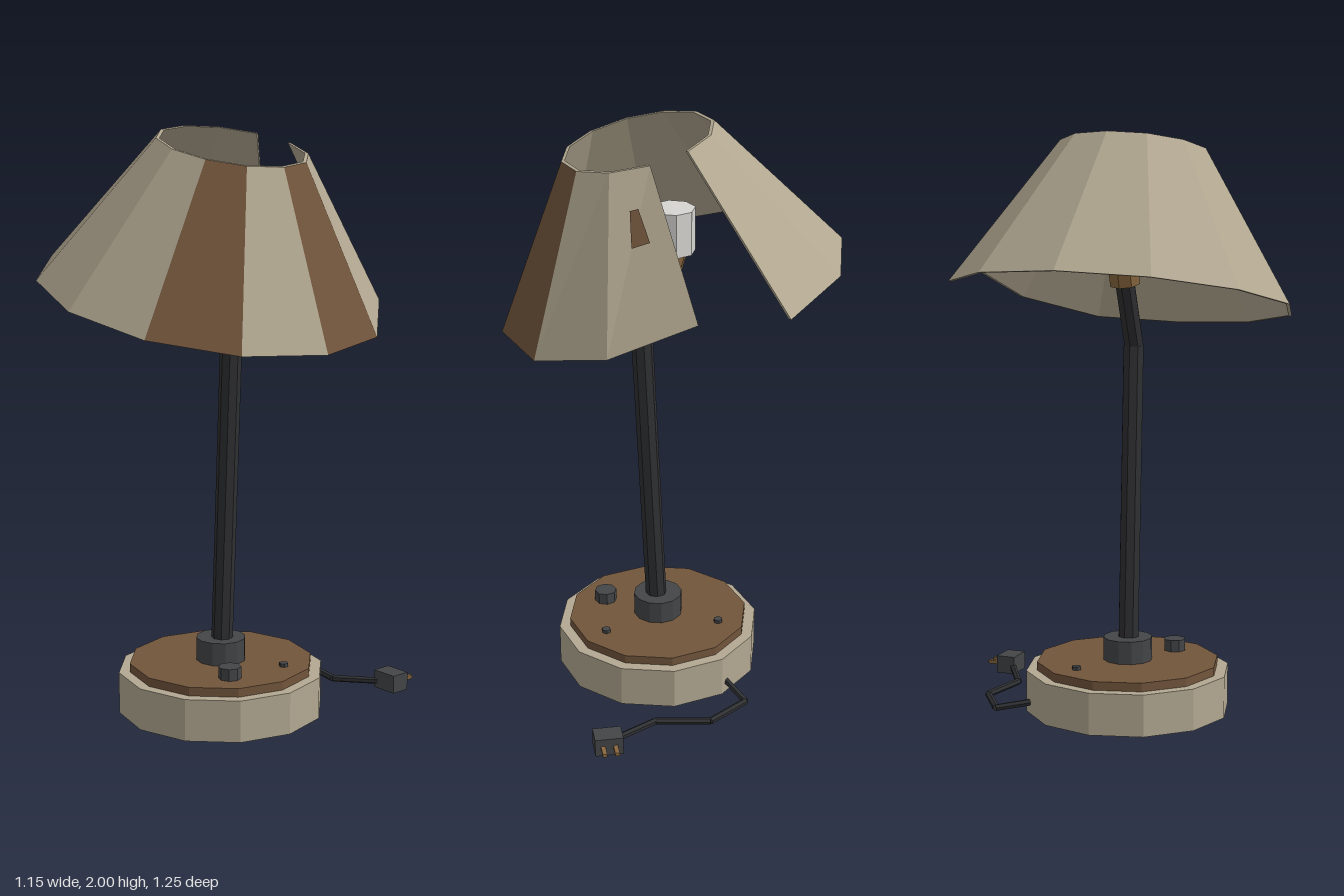
import * as THREE from 'three';

const V = (x, y, z) => new THREE.Vector3(x, y, z);

function material(name, color) {
  const m = new THREE.MeshStandardMaterial({ color, flatShading: true });
  m.name = name;
  return m;
}

export function createModel() {
  const cream = material('warm cream', 0xb2a891);
  const brown = material('wood brown', 0x72553c);
  const black = material('stem black', 0x2f3032);
  const grey = material('dark grey', 0x434547);
  const white = material('bulb white', 0xd6d5d2);
  const brass = material('brass', 0x8a683f);

  const model = new THREE.Group();
  model.name = 'deskLamp';

  function add(name, geometry, mat, parent = model) {
    const mesh = new THREE.Mesh(geometry, mat);
    mesh.name = name;
    parent.add(mesh);
    return mesh;
  }

  // Upright faceted disc between two heights
  function disc(name, x, z, r, y0, y1, sides, mat) {
    const m = add(name, new THREE.CylinderGeometry(r, r, y1 - y0, sides), mat);
    m.position.set(x, (y0 + y1) / 2, z);
    return m;
  }

  // Faceted rod between two points
  function rod(name, a, b, r, sides, mat, parent = model) {
    const dir = b.clone().sub(a);
    const m = add(name, new THREE.CylinderGeometry(r, r, dir.length(), sides), mat, parent);
    m.position.copy(a).add(b).multiplyScalar(0.5);
    m.quaternion.setFromUnitVectors(V(0, 1, 0), dir.normalize());
    return m;
  }

  // Flat faces from four corners each, anticlockwise from outside
  function quads(list) {
    const pts = list.flatMap(([a, b, c, d]) => [a, b, c, a, c, d]);
    const g = new THREE.BufferGeometry().setFromPoints(pts);
    g.computeVertexNormals();
    return g;
  }

  // Base with its controls
  const cx = 0.055, cz = 0.03;
  disc('base', cx, cz, 0.357, 0, 0.145, 12, cream);
  disc('baseTop', cx, cz, 0.319, 0.145, 0.175, 12, brown);
  disc('stemCollar', cx, cz, 0.086, 0.175, 0.255, 12, grey);
  disc('dial', 0.23, 0.14, 0.039, 0.175, 0.216, 8, grey);
  for (const x of [-0.145, 0.258]) disc('button', x, -0.08, 0.016, 0.175, 0.187, 6, grey);

  // Stem, bent upper arm, socket and bulb
  rod('stem', V(0.06, 0.22, cz), V(0.106, 1.27, cz), 0.037, 8, black);
  rod('upperArm', V(0.112, 1.265, cz), V(0.022, 1.5, cz), 0.035, 8, black);
  rod('socket', V(0.026, 1.49, cz), V(0.006, 1.56, cz), 0.055, 8, brass);
  disc('bulb', 0, cz, 0.076, 1.56, 1.71, 8, white);

  // Tilted shade with one panel missing at the back
  const tilt = 0.2217, thick = 0.012, columns = 12;
  const rimPoint = (r, h, k) => {
    const a = Math.PI / 2 - (k * Math.PI) / 6;
    return V(r * Math.cos(a), h, -r * Math.sin(a))
      .applyAxisAngle(V(0, 0, 1), -tilt).add(V(0, 1.44, cz));
  };
  const ring = (r, h) => Array.from({ length: columns }, (_, k) => rimPoint(r, h, k));
  const outLow = ring(0.59, 0), outTop = ring(0.256, 0.517);
  const inLow = ring(0.59 - thick, 0), inTop = ring(0.256 - thick, 0.517);

  // Bent corner beside the gap
  outLow[0].set(0.02, 1.54, -0.56);
  outLow[1].set(0.292, 1.41, -0.48);
  inLow[0].set(0.02, 1.54, -0.56 + thick);
  inLow[1].set(0.287, 1.41, -0.48 + thick);

  const shade = new THREE.Group();
  shade.name = 'shade';
  model.add(shade);
  const creamPanels = [], brownPanels = [], lining = [];
  for (let k = 0; k < columns - 1; k++) {
    const n = k + 1;
    (k === 2 || k === 4 ? brownPanels : creamPanels)
      .push([outLow[n], outLow[k], outTop[k], outTop[n]]);
    lining.push([inLow[k], inLow[n], inTop[n], inTop[k]]);
    lining.push([outTop[n], outTop[k], inTop[k], inTop[n]]);
    lining.push([outLow[k], outLow[n], inLow[n], inLow[k]]);
  }
  const e = columns - 1;
  lining.push([outLow[0], inLow[0], inTop[0], outTop[0]]);
  lining.push([inLow[e], outLow[e], outTop[e], inTop[e]]);
  add('shadePanels', quads(creamPanels), cream, shade);
  add('shadeBrownPanels', quads(brownPanels), brown, shade);
  add('shadeLining', quads(lining), cream, shade);

  // Small patch lying on the bent panel
  const onPanel = (u, v) => {
    const left = outLow[0].clone().lerp(outTop[0], v);
    const right = outLow[1].clone().lerp(outTop[1], v);
    return left.lerp(right, u).add(V(0.001, 0.006, -0.008));
  };
  add('shadePatch', quads([
    [onPanel(0.63, 0.55), onPanel(0.34, 0.55), onPanel(0.44, 0.76), onPanel(0.6, 0.76)],
  ]), brown, shade).material.side = THREE.DoubleSide;

  // Power cord with plug
  const cord = new THREE.Group();
  cord.name = 'powerCord';
  model.add(cord);
  const path = [
    V(-0.14, -0.25, 0.04), V(-0.19, -0.365, 0.02), V(-0.047, -0.463, 0.02),
    V(0.14, -0.432, 0.02), V(0.3, -0.53, 0.03),
  ].map((p) => V(p.x, p.z, p.y));
  for (let i = 0; i < path.length - 1; i++) {
    rod('cordSegment', path[i], path[i + 1], 0.012, 6, black, cord);
  }
  add('plug', new THREE.BoxGeometry(0.096, 0.064, 0.07), grey, cord).position.set(0.318, 0.037, -0.545);
  for (const x of [0.297, 0.339]) {
    add('plugProng', new THREE.BoxGeometry(0.015, 0.012, 0.05), brass, cord).position.set(x, 0.037, -0.6);
  }

  return model;
}
